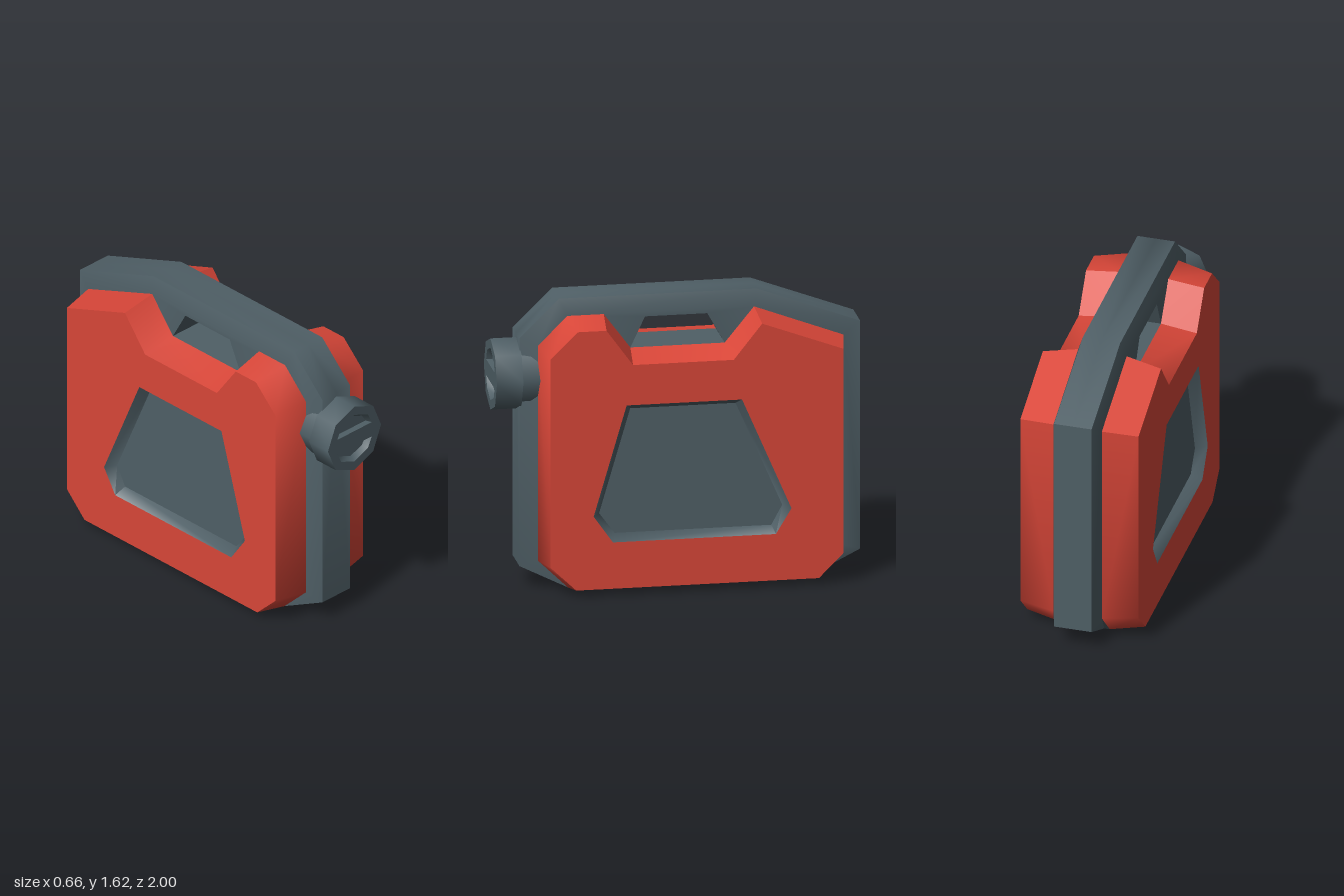
import * as THREE from 'three';
import { toCreasedNormals } from 'three/addons/utils/BufferGeometryUtils.js';

const CREASE = THREE.MathUtils.degToRad(52);

// Profiles are written as [z, y] and turned into counter-clockwise loops seen from +x.
const side = (pts) => {
  const loop = pts.map(([z, y]) => new THREE.Vector2(-z, y));
  return THREE.ShapeUtils.isClockWise(loop) ? loop.reverse() : loop;
};

// Triangles joining loop a at depth wa to loop b at depth wb.
function loft(a, wa, b, wb) {
  const at = (p, w) => new THREE.Vector3(p.x, p.y, w);
  return a.flatMap((p, i) => {
    const j = (i + 1) % a.length;
    const [p0, p1, q0, q1] = [at(p, wa), at(a[j], wa), at(b[i], wb), at(b[j], wb)];
    return [p0, p1, q1, p0, q1, q0];
  });
}

// Flat face facing +w, with optional holes.
function plate(loop, holes, w) {
  const all = [...loop, ...holes.flat()];
  return THREE.ShapeUtils.triangulateShape(loop, holes).flatMap((tri) => {
    const p = tri.map((i) => all[i]);
    if (THREE.ShapeUtils.area(p) < 0) p.reverse();
    return p.map((v) => new THREE.Vector3(v.x, v.y, w));
  });
}

const mirrored = (tris) => tris.map((v) => new THREE.Vector3(v.x, v.y, -v.z)).reverse();

function build(tris) {
  return toCreasedNormals(new THREE.BufferGeometry().setFromPoints(tris), CREASE);
}

export function createModel() {
  const group = new THREE.Group();
  const red = new THREE.MeshStandardMaterial({ color: 0xd84638 });
  red.name = 'red';
  const slate = new THREE.MeshStandardMaterial({ color: 0x4f5f66 });
  slate.name = 'slate grey';
  const add = (name, geometry, material) => {
    const mesh = new THREE.Mesh(geometry, material);
    mesh.name = name;
    group.add(mesh);
    return mesh;
  };

  // Central frame with chamfered edges and a handle opening
  const rim = side([[0.645, 1.615], [0.86, 1.405], [0.86, 0.125], [0.6, 0],
    [-0.75, 0], [-1, 0.125], [-1, 1.405], [-0.435, 1.615]]);
  const shoulder = side([[0.605, 1.525], [0.765, 1.365], [0.765, 0.16], [0.6, 0],
    [-0.75, 0], [-0.905, 0.16], [-0.905, 1.34], [-0.42, 1.525]]);
  const grip = side([[0.18, 1.5], [0.26, 1.33], [-0.255, 1.33], [-0.16, 1.5]]);
  const frameHalf = [
    ...loft(rim, 0, rim, 0.105),
    ...loft(rim, 0.105, shoulder, 0.135),
    ...plate(shoulder, [grip], 0.135),
    ...loft(grip, 0.135, grip, 0),
  ];
  add('frame', build([...frameHalf, ...mirrored(frameHalf)]).rotateY(Math.PI / 2), slate);

  // Side shells, tapering outward, with a sunken panel in each
  const shellBase = side([[0.605, 1.525], [0.765, 1.365], [0.765, 0.16], [0.6, 0],
    [-0.75, 0], [-0.905, 0.16], [-0.905, 1.34], [-0.415, 1.525],
    [-0.255, 1.33], [0.26, 1.33], [0.405, 1.525]]);
  const shellFace = side([[0.58, 1.49], [0.73, 1.345], [0.73, 0.175], [0.59, 0.04],
    [-0.735, 0.04], [-0.87, 0.175], [-0.87, 1.32], [-0.425, 1.485],
    [-0.27, 1.29], [0.28, 1.29], [0.425, 1.49]]);
  const opening = side([[0.315, 1.065], [0.495, 0.45], [0.39, 0.3],
    [-0.5, 0.3], [-0.585, 0.44], [-0.315, 1.065]]);
  const floor = side([[0.285, 1.03], [0.455, 0.45], [0.37, 0.335],
    [-0.485, 0.335], [-0.545, 0.445], [-0.29, 1.03]]);
  const shell = [...loft(shellBase, 0.135, shellFace, 0.33), ...plate(shellFace, [opening], 0.33)];
  const panel = [...loft(opening, 0.33, floor, 0.27), ...plate(floor, [], 0.27)];
  for (const [label, flip] of [['left', (t) => t], ['right', mirrored]]) {
    add(label + 'Shell', build(flip(shell)).rotateY(Math.PI / 2), red);
    add(label + 'Panel', build(flip(panel)).rotateY(Math.PI / 2), slate);
  }

  // Spout neck
  const neck = new THREE.CylinderGeometry(0.175, 0.175, 0.155, 8).rotateX(Math.PI / 2);
  add('neck', neck, slate).position.set(0, 1.18, 0.7775);

  // Octagonal screw cap with two pockets either side of a grip bar
  const octagon = Array.from({ length: 8 }, (_, i) =>
    new THREE.Vector2(Math.cos(i * Math.PI / 4), Math.sin(i * Math.PI / 4)).multiplyScalar(0.2));
  const loop = (pts, s) => pts.map(([x, y]) => new THREE.Vector2(x * s, y * s));
  const mouth = [[-0.13, 0.045], [0.13, 0.045], [0.1, 0.107], [0, 0.147], [-0.1, 0.107]];
  const bed = [[-0.112, 0.05], [0.112, 0.05], [0.085, 0.092], [0, 0.125], [-0.085, 0.092]];
  const cap = [
    ...loft(octagon, 0.855, octagon, 1),
    ...mirrored(plate(octagon, [], -0.855)),
    ...plate(octagon, [loop(mouth, 1), loop(mouth, -1)], 1),
  ];
  for (const s of [1, -1]) {
    cap.push(...loft(loop(mouth, s), 1, loop(bed, s), 0.97), ...plate(loop(bed, s), [], 0.97));
  }
  add('cap', build(cap), slate).position.y = 1.18;

  return group;
}
